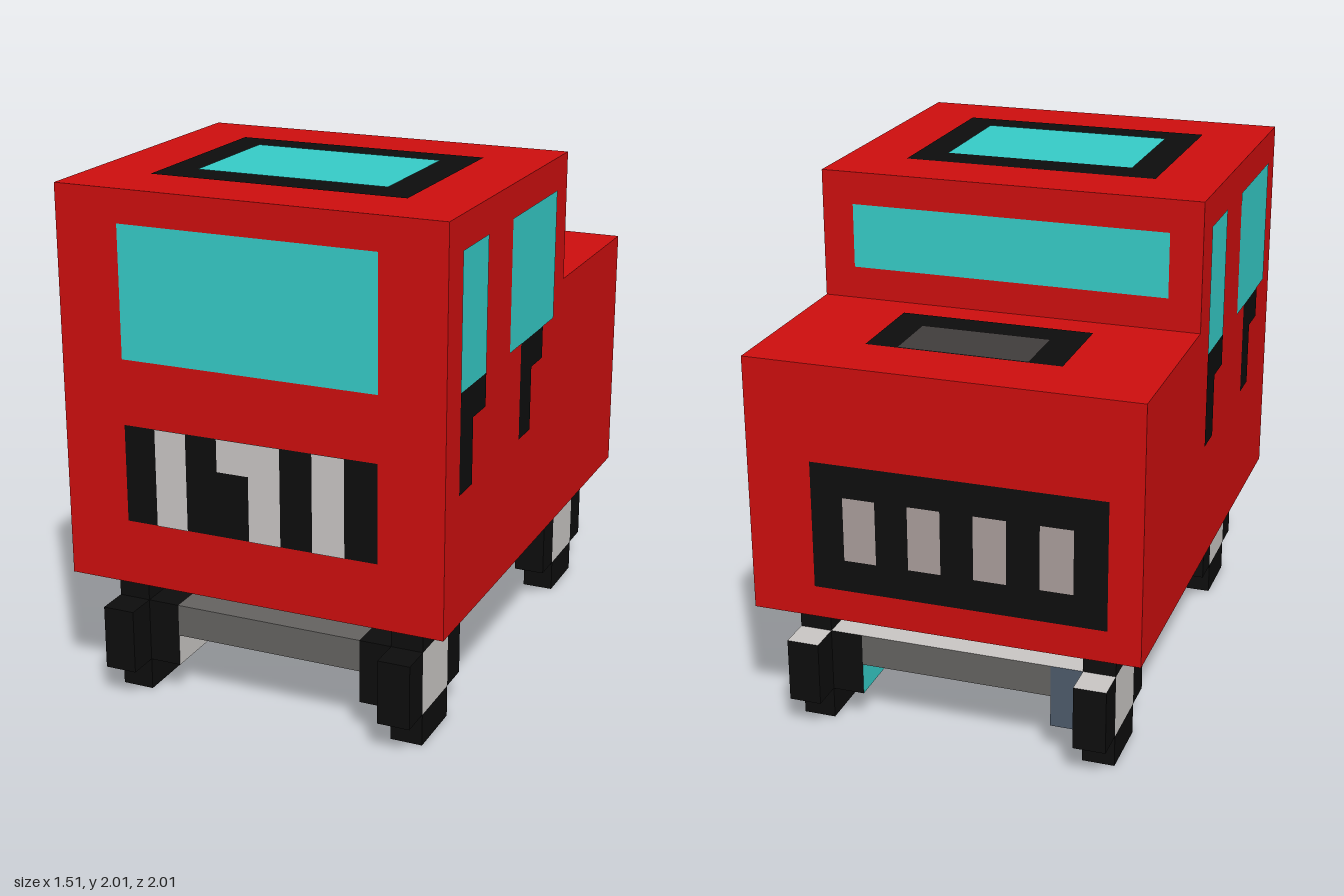
import * as THREE from 'three';

const colours = {
  red: 0xcc0e0e, glass: 0x35cac6, black: 0x0d0d0d, light: 0xc8c5c3, steel: 0x646260,
  slit: 0xa99d9a, charcoal: 0x403c3b, yellow: 0xcdb85f, slate: 0x4c5a6a,
};

export function createModel() {
  const model = new THREE.Group();
  model.name = 'blockTruck';
  const m = {};
  for (const [name, color] of Object.entries(colours)) {
    m[name] = new THREE.MeshStandardMaterial({ color });
    m[name].name = name;
  }

  // Box from min and max corners; faces are ordered +x -x +y -y +z -z
  function box(parent, name, mat, [x0, y0, z0], [x1, y1, z1]) {
    const mesh = new THREE.Mesh(new THREE.BoxGeometry(x1 - x0, y1 - y0, z1 - z0), mat);
    mesh.position.set((x0 + x1) / 2, (y0 + y1) / 2, (z0 + z1) / 2);
    mesh.name = name;
    parent.add(mesh);
  }

  // A side of the body, with u to the right and v up as seen from outside
  function side(name, position, rotX, rotY) {
    const group = new THREE.Group();
    group.name = name;
    group.position.set(...position);
    group.rotation.set(rotX, rotY, 0);
    model.add(group);
    return group;
  }

  // Painted panel just above a side
  function panel(parent, name, mat, u0, u1, v0, v1, layer = 1) {
    const mesh = new THREE.Mesh(new THREE.PlaneGeometry(u1 - u0, v1 - v0), mat);
    mesh.position.set((u0 + u1) / 2, (v0 + v1) / 2, 0.003 * layer);
    mesh.name = name;
    parent.add(mesh);
  }

  // Body with a tall cab in front and a low deck behind
  const profile = new THREE.Shape([
    [-1, 0.5], [1, 0.5], [1, 1.5], [0.25, 1.5], [0.25, 2], [-1, 2],
  ].map(([a, b]) => new THREE.Vector2(a, b)));
  const bodyGeometry = new THREE.ExtrudeGeometry(profile, { depth: 1.5, bevelEnabled: false });
  bodyGeometry.translate(0, 0, -0.75).rotateY(Math.PI / 2);
  const body = new THREE.Mesh(bodyGeometry, m.red);
  body.name = 'body';
  model.add(body);

  const H = Math.PI / 2;

  // Windscreen and grille
  const front = side('frontSide', [0, 0, 1], 0, 0);
  panel(front, 'windscreen', m.glass, -0.5, 0.5, 1.375, 1.875);
  panel(front, 'grille', m.black, -0.5, 0.5, 0.75, 1.125);
  for (const u of [-0.375, 0, 0.25]) panel(front, 'grilleBar', m.light, u, u + 0.125, 0.75, 1.125, 2);
  panel(front, 'grilleBarTop', m.light, -0.125, 0, 1, 1.125, 2);

  // Rear grille and cab back window
  const back = side('backSide', [0, 0, -1], 0, Math.PI);
  panel(back, 'rearGrille', m.black, -0.5, 0.625, 0.625, 1.125);
  for (let i = 0; i < 4; i++) {
    const u = -0.375 + i * 0.25;
    panel(back, 'rearSlit', m.slit, u, u + 0.125, 0.75, 1, 2);
  }
  const cabBack = side('cabBack', [0, 0, -0.25], 0, Math.PI);
  panel(cabBack, 'backWindow', m.glass, -0.625, 0.625, 1.625, 1.875);

  // Side windows and trim, the same left to right order on both sides
  for (const [name, x, shift] of [['leftSide', 0.75, 0], ['rightSide', -0.75, 0.75]]) {
    const s = side(name, [x, 0, 0], 0, Math.sign(x) * H);
    panel(s, 'smallWindow', m.glass, shift - 0.875, shift - 0.625, 1.375, 1.875);
    panel(s, 'largeWindow', m.glass, shift - 0.375, shift + 0.125, 1.375, 1.875);
    for (const u of [shift - 0.875, shift - 0.25]) {
      panel(s, 'trimTop', m.black, u, u + 0.25, 1.25, 1.375);
      panel(s, 'trimStem', m.black, u, u + 0.125, 1, 1.25);
    }
  }

  // Roof window, deck hatch and underside
  const roof = side('roof', [0, 2, 0], -H, 0);
  panel(roof, 'roofFrame', m.black, -0.5, 0.5, -0.75, 0);
  panel(roof, 'roofWindow', m.glass, -0.375, 0.375, -0.625, -0.125, 2);
  const deck = side('deck', [0, 1.5, 0], -H, 0);
  panel(deck, 'hatchFrame', m.black, -0.375, 0.375, 0.375, 0.75);
  panel(deck, 'hatch', m.charcoal, -0.25, 0.25, 0.5, 0.75, 2);
  const under = side('underside', [0, 0.5, 0], H, 0);
  panel(under, 'floor', m.charcoal, -0.75, 0.75, -1, 1);

  // Axles joined by a central bar
  const { black, light, steel, slate, glass, yellow } = m;
  box(model, 'driveBar', [steel, steel, steel, slate, steel, steel], [-0.0625, 0.25, -0.625], [0.0625, 0.375, 0.625]);
  for (const z of [-0.75, 0.75]) {
    const top = z < 0 ? light : steel;
    box(model, 'axle', [steel, steel, top, slate, steel, steel], [-0.375, 0.25, z - 0.125], [0.375, 0.375, z + 0.125]);
  }

  // Cross-shaped wheels with a light outer cap and an inner hub
  const tyre = [black, black, black, slate, black, black];
  for (const sx of [-1, 1]) for (const z of [-0.75, 0.75]) {
    const wheel = new THREE.Group();
    wheel.name = (z > 0 ? 'front' : 'rear') + (sx > 0 ? 'Left' : 'Right') + 'Wheel';
    wheel.position.set(sx * 0.5625, 0.25, z);
    model.add(wheel);
    const rear = z < 0;
    const armTop = rear ? light : black;
    box(wheel, 'centre', [sx > 0 ? light : black, sx < 0 ? light : black, black, black, black, black],
      [-0.0625, -0.125, -0.125], [0.0625, 0.125, 0.125]);
    for (const s of [-1, 1]) {
      box(wheel, 'tyreEnd', tyre, [-0.0625, s * 0.1875 - 0.0625, -0.125], [0.0625, s * 0.1875 + 0.0625, 0.125]);
      box(wheel, 'tyreSide', [black, black, s < 0 ? armTop : black, slate, black, black],
        [-0.0625, -0.125, s * 0.1875 - 0.0625], [0.0625, 0.125, s * 0.1875 + 0.0625]);
    }
    const inner = rear ? glass : light;
    const hubFront = rear ? yellow : black;
    const hubBack = rear ? (sx < 0 ? slate : black) : steel;
    const hubX = -sx * 0.125;
    box(wheel, 'hub', [inner, inner, armTop, slate, hubFront, hubBack],
      [hubX - 0.0625, -0.125, -0.125], [hubX + 0.0625, 0.125, 0.125]);
  }
  return model;
}
